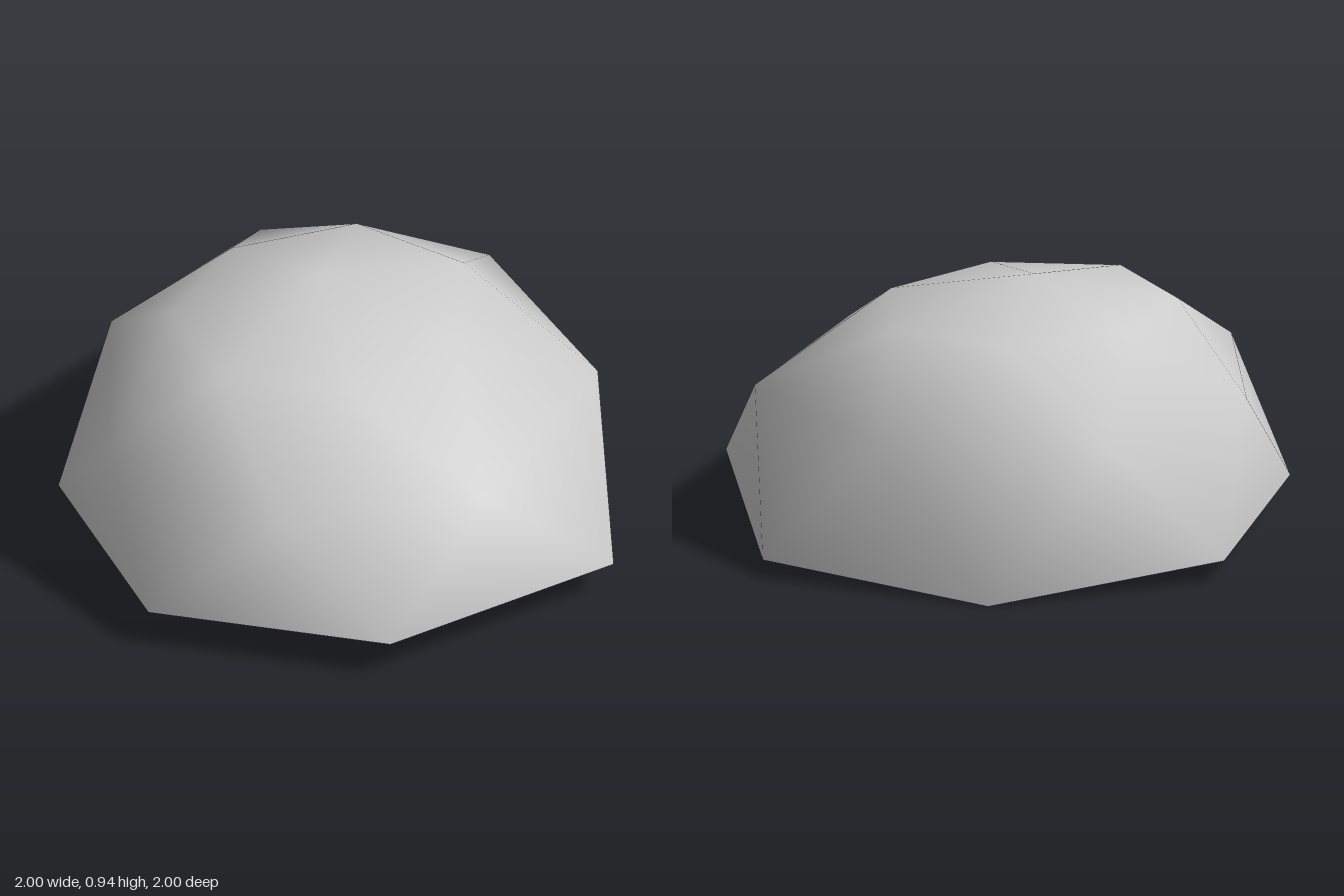
import * as THREE from 'three';

export function createModel() {
  const group = new THREE.Group();
  const grey = new THREE.MeshStandardMaterial({ color: 0xcccccc, side: THREE.DoubleSide });
  grey.name = 'light grey';

  // Three uneven seven-sided rings; the middle one is turned by half a step
  const rim = [[1, 0.135, -0.44], [0.89, 0.14, 0.47], [0.21, 0.14, 1], [-0.58, 0.14, 0.76],
    [-1, 0.08, 0.04], [-0.63, 0, -0.74], [0.23, 0.03, -1]];
  const middle = [[0.87, 0.55, 0.03], [0.54, 0.55, 0.69], [-0.19, 0.55, 0.85], [-0.78, 0.55, 0.36],
    [-0.88, 0.55, -0.39], [-0.26, 0.55, -0.91], [0.52, 0.55, -0.76]];
  const upper = [[0.38, 0.82, -0.24], [0.36, 0.82, 0.22], [0.02, 0.82, 0.52], [-0.39, 0.82, 0.4],
    [-0.56, 0.82, 0], [-0.4, 0.82, -0.43], [0.02, 0.82, -0.57]];
  const apex = [-0.12, 0.94, -0.03];

  // Triangle bands between the rings and a fan to the apex
  const n = 7, M = n, U = 2 * n, top = 3 * n;
  const index = [];
  for (let i = 0; i < n; i++) {
    const j = (i + 1) % n;
    index.push(i, M + i, j, M + i, M + j, j);
    index.push(M + i, U + i, U + j, M + i, U + j, M + j);
    index.push(U + i, top, U + j);
  }

  const geometry = new THREE.BufferGeometry();
  const points = [...rim, ...middle, ...upper, apex].flat();
  geometry.setAttribute('position', new THREE.Float32BufferAttribute(points, 3));
  geometry.setIndex(index);
  geometry.computeVertexNormals();

  // Open dome shell
  const dome = new THREE.Mesh(geometry, grey);
  dome.name = 'domeShell';
  group.add(dome);
  return group;
}
